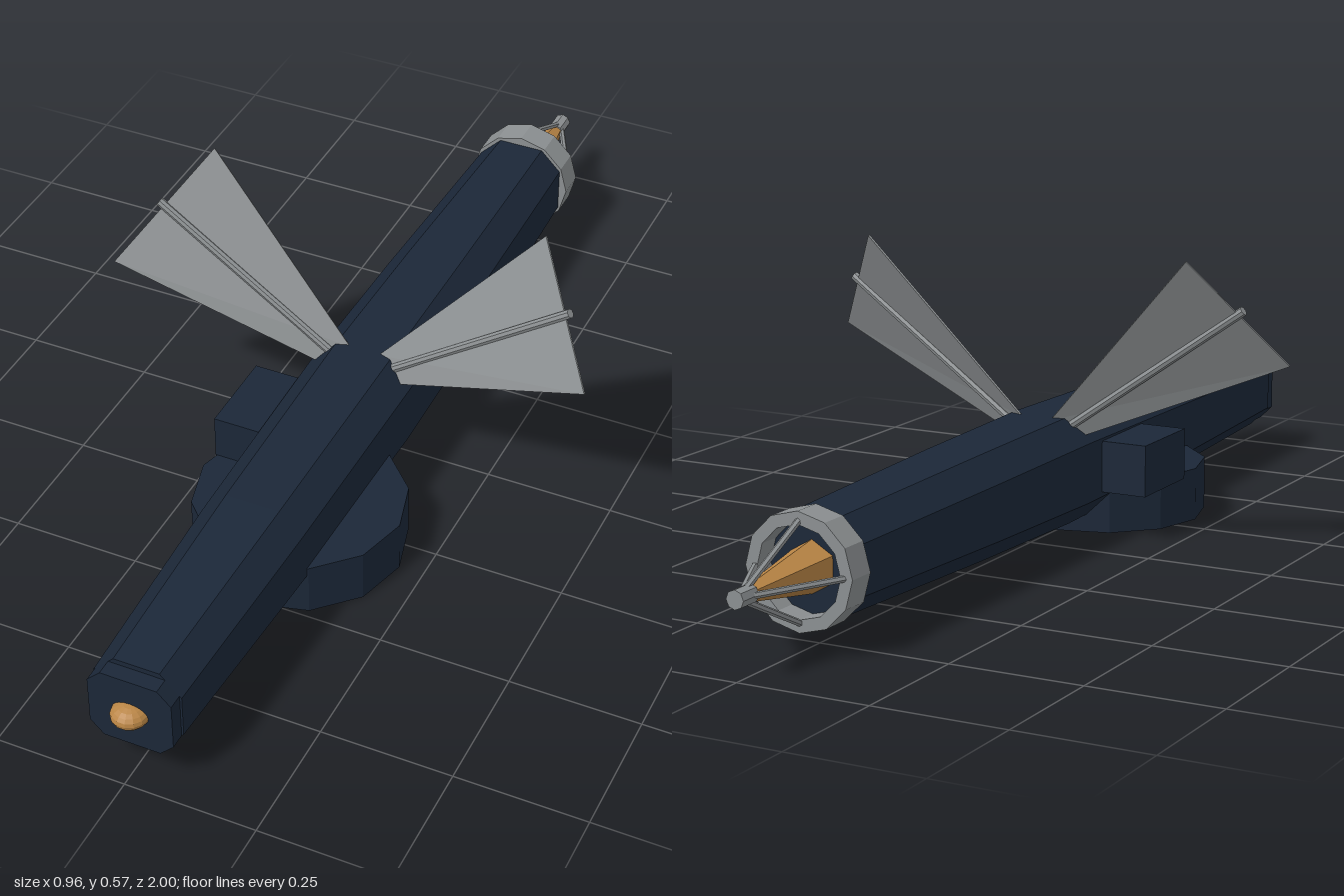
import * as THREE from 'three';

const CY = 0.138; // height of the long axis
const mat = (color) => new THREE.MeshStandardMaterial({ color, flatShading: true, side: THREE.DoubleSide });
const V = (x, y, z) => new THREE.Vector3(x, y, z);

// Chamfered-square sections [z, halfWidth, halfHeight, chamfer], listed front to back
function loftOctagon(sections) {
  const pos = [];
  const rings = sections.map(([z, w, h, c]) => [
    [w, h - c], [w - c, h], [c - w, h], [-w, h - c],
    [-w, c - h], [c - w, -h], [w - c, -h], [w, c - h],
  ].map(([x, y]) => [x, CY + y, z]));
  const tri = (a, b, c) => pos.push(...a, ...b, ...c);
  for (let s = 0; s < rings.length - 1; s++) {
    const f = rings[s], b = rings[s + 1];
    for (let i = 0; i < 8; i++) {
      const j = (i + 1) % 8;
      tri(f[i], b[j], b[i]);
      tri(f[i], f[j], b[j]);
    }
  }
  const first = rings[0], last = rings[rings.length - 1];
  for (let i = 1; i < 7; i++) {
    tri(first[0], first[i], first[i + 1]);
    tri(last[0], last[i + 1], last[i]);
  }
  const g = new THREE.BufferGeometry();
  g.setAttribute('position', new THREE.Float32BufferAttribute(pos, 3));
  g.computeVertexNormals();
  return g;
}

// Straight rod between two points
function rod(a, b, r, sides = 6) {
  const d = b.clone().sub(a);
  const g = new THREE.CylinderGeometry(r, r, d.length(), sides);
  g.applyQuaternion(new THREE.Quaternion().setFromUnitVectors(V(0, 1, 0), d.normalize()));
  const m = a.clone().add(b).multiplyScalar(0.5);
  return g.translate(m.x, m.y, m.z);
}

// Thin four-cornered plate, thickened along its normal
function plate(a, b, c, d, t) {
  const n = b.clone().sub(a).cross(d.clone().sub(a)).normalize().multiplyScalar(t / 2);
  const p = [a, b, c, d];
  const pts = [...p.map((q) => q.clone().add(n)), ...p.map((q) => q.clone().sub(n))];
  const idx = [0, 1, 2, 0, 2, 3, 4, 6, 5, 4, 7, 6];
  for (let i = 0; i < 4; i++) {
    const j = (i + 1) % 4;
    idx.push(i, i + 4, j + 4, i, j + 4, j);
  }
  const g = new THREE.BufferGeometry().setFromPoints(pts);
  g.setIndex(idx);
  const flat = g.toNonIndexed();
  flat.computeVertexNormals();
  return flat;
}

export function createModel() {
  const model = new THREE.Group();
  const navy = mat(0x1b2738), grey = mat(0x8c9092), gold = mat(0xb98545);
  const add = (name, geometry, material, parent = model) => {
    const mesh = new THREE.Mesh(geometry, material);
    mesh.name = name;
    parent.add(mesh);
    return mesh;
  };

  // Long hull, thickest near the middle, and its nose plate
  add('hull', loftOctagon([
    [0.935, 0.084, 0.083, 0.04],
    [0.5, 0.098, 0.097, 0.045],
    [0.05, 0.104, 0.105, 0.047],
    [-0.3, 0.1, 0.099, 0.046],
    [-0.77, 0.088, 0.087, 0.042],
  ]), navy);
  add('nosePlate', loftOctagon([[0.965, 0.08, 0.073, 0.026], [0.92, 0.08, 0.073, 0.026]]), navy);

  // Oval lamp on the nose
  const lamp = add('noseLamp', new THREE.SphereGeometry(1, 14, 10), gold);
  lamp.scale.set(0.035, 0.022, 0.036);
  lamp.position.set(0, CY, 0.964);

  // Twelve-sided pod under the hull and the box beside it
  add('bellyPod', new THREE.CylinderGeometry(0.202, 0.202, 0.103, 12).translate(0, 0.0515, 0.31), navy);
  add('sideBox', new THREE.BoxGeometry(0.13, 0.1, 0.175).translate(-0.13, 0.14, 0.185), navy);

  // Hollow ring at the stern
  const profile = [[0.082, -0.755], [0.105, -0.755], [0.105, -0.812], [0.082, -0.812], [0.082, -0.755]];
  const ring = new THREE.LatheGeometry(profile.map(([r, z]) => new THREE.Vector2(r, -z)), 12);
  add('sternRing', ring.rotateX(-Math.PI / 2).translate(0, CY, 0), grey);

  // Tapered core, cage struts and tip
  add('sternCore', new THREE.CylinderGeometry(0.015, 0.048, 0.19, 6).rotateX(-Math.PI / 2).translate(0, CY, -0.86), gold);
  const cage = new THREE.Group();
  cage.name = 'sternCage';
  model.add(cage);
  for (let i = 0; i < 4; i++) {
    const c = Math.cos(i * Math.PI / 2), s = Math.sin(i * Math.PI / 2);
    add('cageStrut', rod(V(0.09 * c, CY + 0.09 * s, -0.805), V(0.012 * c, CY + 0.012 * s, -0.965), 0.006), grey, cage);
  }
  add('cageTip', rod(V(0, CY, -0.955), V(0, CY, -1), 0.017, 8), grey, cage);

  // Pair of raised fins, each with a central spar
  for (const s of [1, -1]) {
    const fin = new THREE.Group();
    fin.name = s > 0 ? 'leftFin' : 'rightFin';
    model.add(fin);
    add('finPanel', plate(
      V(0.03 * s, 0.238, 0.025), V(0.085 * s, 0.208, 0.055),
      V(0.478 * s, 0.367, 0.122), V(0.335 * s, 0.573, -0.03), 0.004,
    ), grey, fin);
    add('finSpar', rod(V(0.05 * s, 0.218, 0.04), V(0.416 * s, 0.477, 0.047), 0.009, 8), grey, fin);
  }
  return model;
}
